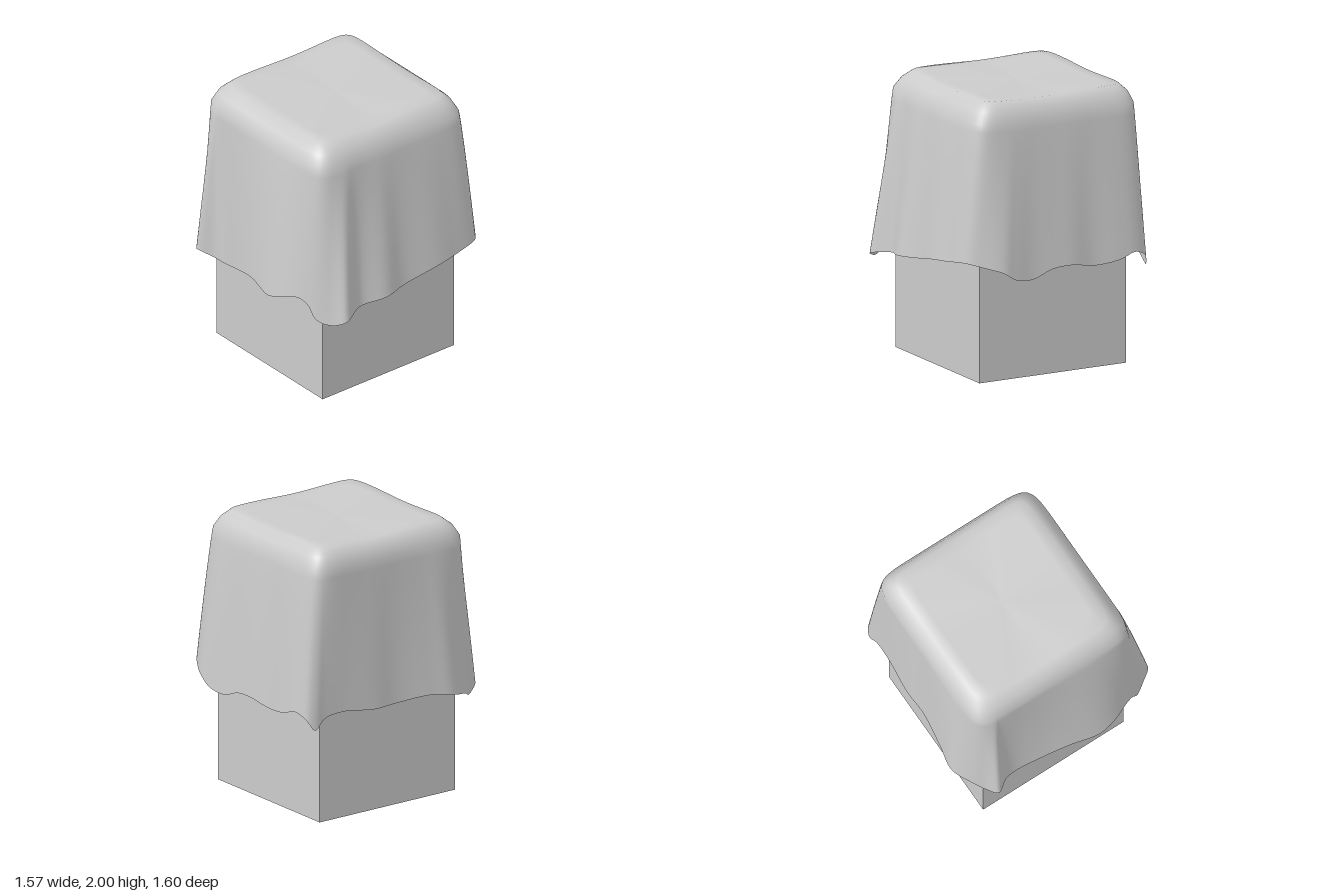
import * as THREE from 'three';

const SEGMENTS = 192;

// Hem of the cloth as x, y, z: back, then +x side, front and -x side
const HEM = [
  [-0.67, 0.80, -0.755], [-0.58, 0.84, -0.78], [-0.45, 0.80, -0.785], [-0.25, 0.78, -0.77], [-0.08, 0.81, -0.785],
  [0.08, 0.80, -0.78], [0.24, 0.745, -0.78], [0.38, 0.76, -0.795], [0.48, 0.82, -0.795], [0.60, 0.86, -0.74],
  [0.71, 0.89, -0.65], [0.745, 0.865, -0.45], [0.76, 0.845, -0.28], [0.74, 0.79, 0], [0.77, 0.77, 0.18],
  [0.72, 0.745, 0.38], [0.785, 0.71, 0.55], [0.70, 0.67, 0.62], [0.61, 0.70, 0.685], [0.55, 0.80, 0.71],
  [0.48, 0.84, 0.74], [0.36, 0.81, 0.785], [0.22, 0.765, 0.80], [0, 0.785, 0.76], [-0.2, 0.74, 0.715],
  [-0.40, 0.69, 0.68], [-0.49, 0.70, 0.695], [-0.60, 0.75, 0.77], [-0.65, 0.69, 0.68], [-0.71, 0.73, 0.60],
  [-0.785, 0.77, 0.45], [-0.76, 0.80, 0.27], [-0.72, 0.785, 0], [-0.725, 0.78, -0.2], [-0.705, 0.81, -0.45],
  [-0.70, 0.79, -0.61], [-0.705, 0.72, -0.70],
].map((p) => new THREE.Vector3(...p));

// Point of a rounded rectangle in the direction of p
function onRectangle(p, [x0, x1, z0, z1], y, power) {
  const cx = (x0 + x1) / 2, cz = (z0 + z1) / 2;
  const a = (x1 - x0) / 2, b = (z1 - z0) / 2;
  const u = p.x / 0.75, v = p.z / 0.77;
  const r = Math.pow(Math.abs(u) ** power + Math.abs(v) ** power, -1 / power);
  return new THREE.Vector3(cx + a * u * r, y, cz + b * v * r);
}

function createCloth() {
  const hem = new THREE.CatmullRomCurve3(HEM, true, 'centripetal');
  const center = new THREE.Vector3(-0.05, 1.985, -0.02);
  const columns = [];
  for (let i = 0; i < SEGMENTS; i++) {
    const end = hem.getPoint(i / SEGMENTS);
    const angle = Math.atan2(end.z, end.x);
    const edge = onRectangle(end, [-0.6, 0.5, -0.58, 0.53], 1.992 + 0.006 * Math.cos(4 * angle + 2.6), 12);
    const bend = onRectangle(end, [-0.66, 0.567, -0.637, 0.601], 1.94, 10);
    const shoulder = onRectangle(end, [-0.69, 0.61, -0.672, 0.645], 1.865, 10);
    // Flat top, rounded shoulder, then the hanging skirt
    const column = [0.02, 0.3, 0.6, 0.85].map((t) => center.clone().lerp(edge, t));
    column.push(edge, bend, shoulder);
    for (let k = 1; k <= 16; k++) {
      const s = k / 16;
      const p = shoulder.clone().lerp(end, s ** 0.88);
      p.y = THREE.MathUtils.lerp(shoulder.y, end.y, s);
      column.push(p);
    }
    columns.push(column);
  }

  const rows = columns[0].length;
  const positions = [...center.toArray()], index = [];
  for (let j = 0; j < rows; j++) {
    for (const column of columns) positions.push(...column[j].toArray());
  }
  const id = (j, i) => 1 + j * SEGMENTS + (i % SEGMENTS);
  for (let i = 0; i < SEGMENTS; i++) {
    index.push(0, id(0, i + 1), id(0, i));
    for (let j = 0; j < rows - 1; j++) {
      index.push(id(j, i), id(j, i + 1), id(j + 1, i));
      index.push(id(j, i + 1), id(j + 1, i + 1), id(j + 1, i));
    }
  }
  const geometry = new THREE.BufferGeometry();
  geometry.setAttribute('position', new THREE.Float32BufferAttribute(positions, 3));
  geometry.setIndex(index);
  geometry.computeVertexNormals();
  return geometry;
}

export function createModel() {
  const model = new THREE.Group();

  // Plain box standing under the cloth
  const box = new THREE.Mesh(
    new THREE.BoxGeometry(1.17, 1.84, 1.175),
    new THREE.MeshStandardMaterial({ color: 0xcccccc }),
  );
  box.name = 'box';
  box.position.set(-0.025, 0.92, -0.003);

  // Draped cloth, open below
  const cloth = new THREE.Mesh(
    createCloth(),
    new THREE.MeshStandardMaterial({ color: 0xcccccc, side: THREE.DoubleSide }),
  );
  cloth.name = 'drapedCloth';

  model.add(box, cloth);
  return model;
}
